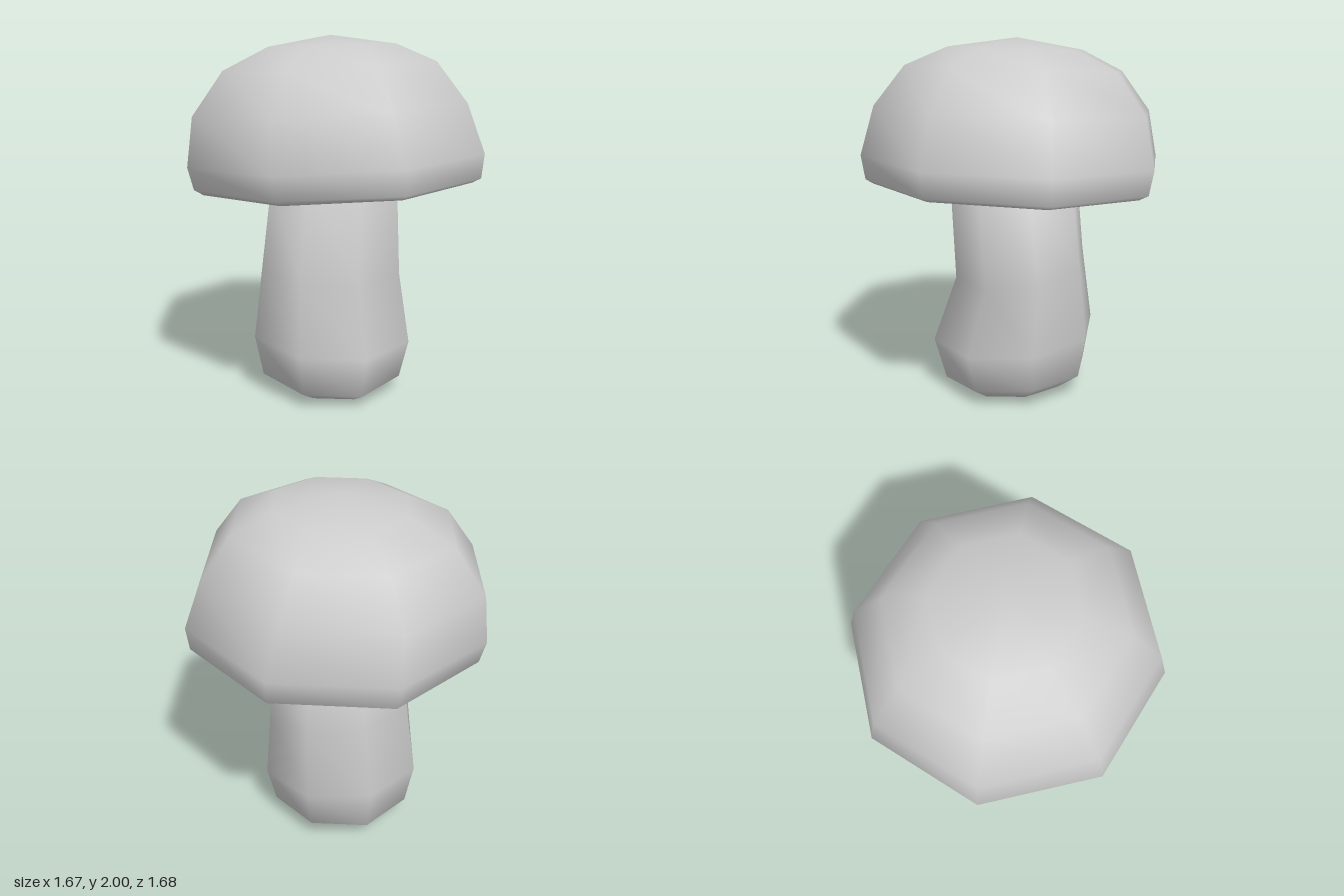
import * as THREE from 'three';

const SIDES = 8;

// Skin of eight-sided rings from bottom to top, closed by a point at each end.
// A ring is [left x, y, right x, y, front z, y, back z, y] at its four axis corners.
function skin(name, rings, bottom, top) {
  const points = [];
  for (const [lx, ly, rx, ry, fz, fy, bz, by] of rings) {
    for (let j = 0; j < SIDES; j++) {
      const a = (j / SIDES) * Math.PI * 2;
      const s = Math.sin(a), c = Math.cos(a);
      points.push(
        (rx + lx) / 2 + (s * (rx - lx)) / 2,
        (s * s * (ly + ry) + c * c * (fy + by) + s * (ry - ly) + c * (fy - by)) / 2,
        (fz + bz) / 2 + (c * (fz - bz)) / 2
      );
    }
  }
  const low = rings.length * SIDES, high = low + 1;
  points.push(...bottom, ...top);

  const index = [];
  for (let j = 0; j < SIDES; j++) {
    const k = (j + 1) % SIDES;
    for (let i = 0; i < rings.length - 1; i++) {
      const p = i * SIDES, q = p + SIDES;
      index.push(p + j, p + k, q + j, p + k, q + k, q + j);
    }
    const last = (rings.length - 1) * SIDES;
    index.push(low, k, j, high, last + j, last + k);
  }

  const geometry = new THREE.BufferGeometry();
  geometry.setAttribute('position', new THREE.Float32BufferAttribute(points, 3));
  geometry.setIndex(index);
  geometry.computeVertexNormals();
  const mesh = new THREE.Mesh(geometry, new THREE.MeshStandardMaterial({ color: 0xcccccc }));
  mesh.name = name;
  return mesh;
}

export function createModel() {
  const group = new THREE.Group();
  group.name = 'mushroom';

  // Bulbous stem with a dent at the front, its top tucked into the cap
  group.add(skin('stem', [
    [-0.31, 0.025, 0.28, 0.028, 0.29, 0.0, -0.30, 0.025],
    [-0.44, 0.11, 0.40, 0.12, 0.40, 0.06, -0.43, 0.11],
    [-0.49, 0.345, 0.445, 0.33, 0.465, 0.30, -0.475, 0.37],
    [-0.43, 0.72, 0.42, 0.72, 0.335, 0.67, -0.41, 0.80],
    [-0.375, 1.23, 0.365, 1.25, 0.36, 1.25, -0.37, 1.23],
  ], [-0.01, 0.025, 0], [0, 1.24, 0]));

  // Slightly tilted domed cap with a flat underside
  group.add(skin('cap', [
    [-0.76, 1.18, 0.77, 1.225, 0.78, 1.235, -0.76, 1.17],
    [-0.81, 1.21, 0.82, 1.25, 0.82, 1.26, -0.81, 1.20],
    [-0.84, 1.33, 0.835, 1.38, 0.84, 1.39, -0.84, 1.33],
    [-0.80, 1.59, 0.74, 1.64, 0.76, 1.65, -0.80, 1.585],
    [-0.63, 1.82, 0.57, 1.86, 0.59, 1.86, -0.63, 1.81],
    [-0.38, 1.94, 0.35, 1.95, 0.36, 1.955, -0.39, 1.93],
  ], [0, 1.2, 0], [-0.02, 2.0, -0.02]));

  return group;
}
